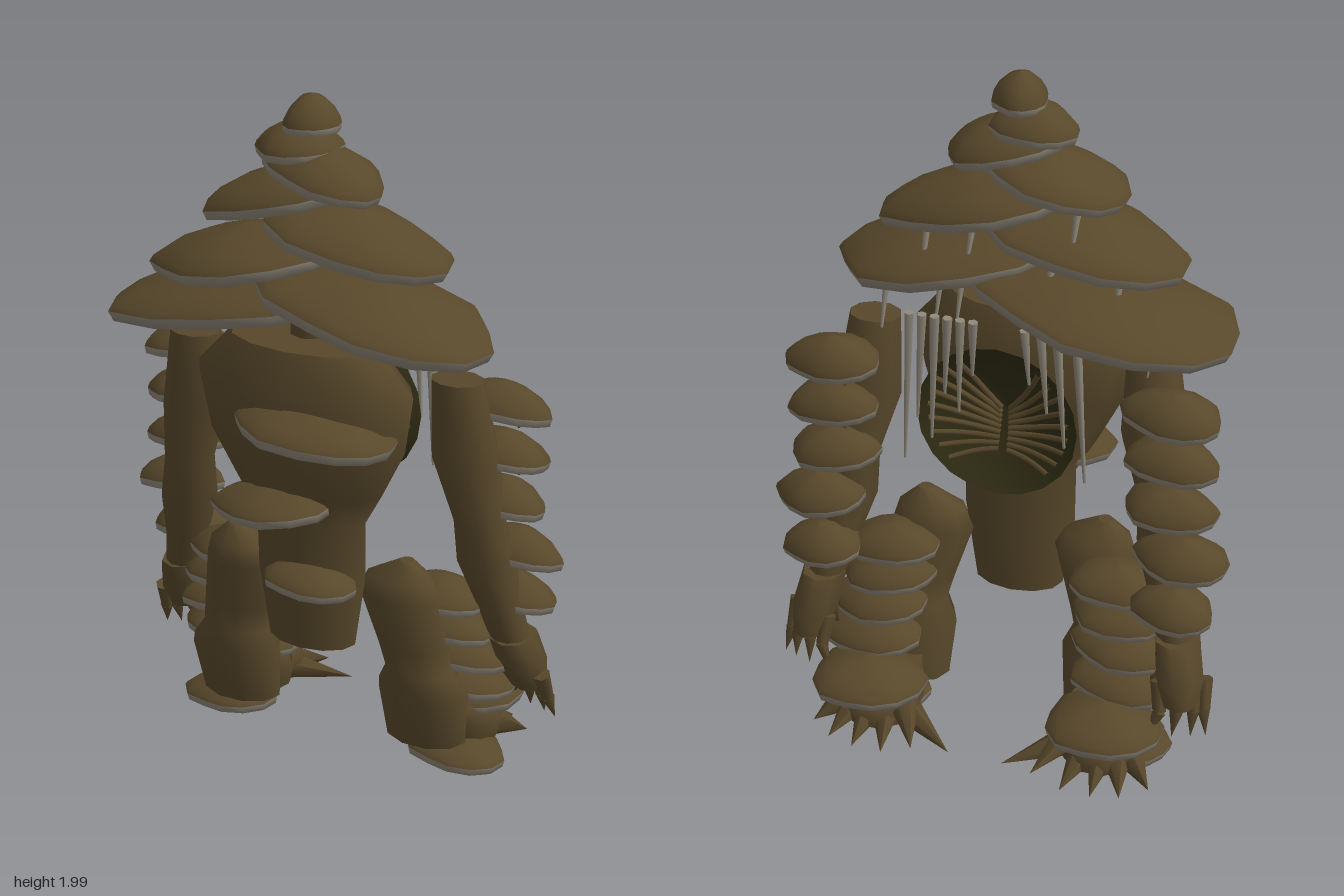
import * as THREE from 'three';
import { mergeGeometries } from 'three/addons/utils/BufferGeometryUtils.js';

const mat = (name, color, side = THREE.FrontSide) => {
  const m = new THREE.MeshStandardMaterial({ color, side });
  m.name = name;
  return m;
};

// Skin over elliptical rings [x, y, z, rx, rz], listed from the top down
function skin(rings, n = 10, wave = () => 1) {
  const pos = [], idx = [];
  rings.forEach(([x, y, z, rx, rz], j) => {
    for (let i = 0; i < n; i++) {
      const a = (i / n) * Math.PI * 2, w = wave(a);
      pos.push(x + Math.cos(a) * rx * w, y, z + Math.sin(a) * rz * w);
      if (j === rings.length - 1) continue;
      const p = j * n + i, q = j * n + ((i + 1) % n);
      idx.push(p, q, p + n, p + n, q, q + n);
    }
  });
  const g = new THREE.BufferGeometry();
  g.setAttribute('position', new THREE.Float32BufferAttribute(pos, 3));
  g.setIndex(idx);
  g.computeVertexNormals();
  return g;
}

// Closed limb: skin with sharp-edged end caps
function limb(rings, n = 10) {
  const a = rings[0], b = rings[rings.length - 1];
  const point = r => [r[0], r[1], r[2], 0, 0];
  return mergeGeometries([skin([point(a), a], n), skin(rings, n), skin([b, point(b)], n)]);
}

// Cone from point a to point b, optionally blunt
function spike(a, b, r, tip = 0) {
  const A = new THREE.Vector3(...a), B = new THREE.Vector3(...b);
  const d = B.clone().sub(A);
  const g = new THREE.CylinderGeometry(tip, r, d.length(), 6);
  g.applyQuaternion(new THREE.Quaternion().setFromUnitVectors(new THREE.Vector3(0, 1, 0), d.normalize()));
  return g.translate(...A.add(B).multiplyScalar(0.5).toArray());
}

export function createModel() {
  const bark = mat('bark brown', 0x58482b);
  const gill = mat('gill grey', 0x8f887a);
  const dark = mat('cavity olive', 0x302d14, THREE.DoubleSide);
  const model = new THREE.Group();
  model.name = 'fungusGolem';

  const add = (name, geo, material, parent = model) => {
    const m = new THREE.Mesh(geo, material);
    m.name = name;
    parent.add(m);
    return m;
  };

  // Bracket fungus: domed brown top, rounded grey lip and slightly hollow grey underside
  let seed = 0;
  const shelf = (name, x, y, z, rx, rz, h, tilt = 0, parent = model, droop = 0) => {
    const s = ++seed * 1.7;
    const wave = a => 1 + 0.05 * Math.sin(3 * a + s) + 0.03 * Math.cos(5 * a + s);
    const ring = (f, dy) => [0, dy, 0, rx * f, rz * f];
    const lip = Math.min(0.03, 0.014 + rx * 0.05);
    const g = new THREE.Group();
    g.name = name;
    const top = [ring(0, h), ring(0.4, h * 0.87), ring(0.75, h * 0.55), ring(0.95, h * 0.2), ring(1, 0)];
    const under = [ring(1, 0), ring(0.97, -lip), ring(0.85, -lip), ring(0.4, -lip * 0.3), ring(0, h * 0.1)];
    add('capTop', skin(top, 13, wave), bark, g);
    add('capUnderside', skin(under, 13, wave), gill, g);
    g.position.set(x, y, z);
    g.rotation.set(-droop, 0, tilt);
    parent.add(g);
  };

  // Torso and neck
  add('torso', limb([
    [-0.005, 1.33, 0.13, 0.22, 0.115], [-0.01, 1.21, 0.125, 0.325, 0.15],
    [0, 1.05, 0.13, 0.295, 0.145], [0, 0.9, 0.115, 0.22, 0.115],
    [0, 0.8, 0.105, 0.165, 0.1], [0, 0.63, 0.1, 0.165, 0.095], [0, 0.41, 0.095, 0.132, 0.085],
  ], 12), bark);
  add('neck', limb([[0, 1.9, 0.1, 0.03, 0.03], [-0.01, 1.6, 0.09, 0.05, 0.05], [-0.01, 1.32, 0.08, 0.06, 0.06]], 8), bark);

  // Stacked head caps: x, y, z, rx, rz, height, tilt
  [
    [0, 1.92, 0.095, 0.075, 0.08, 0.08, 0], [-0.04, 1.85, 0.095, 0.12, 0.105, 0.07, 0.06],
    [0.045, 1.785, 0.1, 0.17, 0.13, 0.08, -0.22], [-0.09, 1.715, 0.105, 0.22, 0.155, 0.075, 0.24],
    [0.115, 1.625, 0.085, 0.275, 0.185, 0.085, -0.22], [-0.18, 1.54, 0.115, 0.285, 0.21, 0.08, 0.19],
    [0.21, 1.445, 0.125, 0.34, 0.235, 0.08, -0.18], [-0.265, 1.385, 0.035, 0.385, 0.25, 0.075, 0.16],
  ].forEach(c => shelf('headCap', ...c));

  // Shelves on the belly side
  shelf('torsoShelf', 0.065, 1.115, 0.23, 0.235, 0.14, 0.065, -0.08);
  shelf('torsoShelf', -0.065, 0.86, 0.19, 0.185, 0.145, 0.055, 0.12);
  shelf('torsoShelf', 0.035, 0.635, 0.17, 0.135, 0.11, 0.055, -0.05);

  // Hollow chest dish opening to -z, with ribs sweeping out and up from a central seam
  const R = 0.23, cy = 1.05;
  const depth = r => 0.025 + 0.09 * (r / R) ** 2;
  const dish = skin([0, 0.07, 0.14, 0.19, R].map(r => [0, depth(r), 0, r, r]), 20);
  add('chestCavity', dish.rotateX(-Math.PI / 2).translate(0, cy, 0), dark);
  for (const s of [1, -1]) for (let k = 0; k < 9; k++) {
    const a = -0.8 + k * 0.22, x1 = 0.205 * Math.cos(a), y1 = 0.205 * Math.sin(a), y0 = -0.12 + k * 0.015;
    const pts = [0, 0.35, 0.7, 1].map(t => {
      const x = 0.012 + (x1 - 0.012) * t, y = y0 + (y1 - y0) * t ** 1.3;
      return new THREE.Vector3(s * x, cy + y, -depth(Math.hypot(x, y)) - 0.006);
    });
    add('cavityRib', new THREE.TubeGeometry(new THREE.CatmullRomCurve3(pts), 6, 0.008, 5), bark);
  }

  // Grey tendrils hanging in front of the cavity
  [-0.26, -0.2, -0.15, -0.1, 0.06, 0.1, 0.14, 0.18, 0.22, 0.26].forEach((x, i) => {
    const end = [0.92, 1.02, 1.12, 1.2, 1.2, 1.08, 1.13, 0.98, 1.04, 0.9][i];
    add('tendril', spike([x * 0.9, 1.37, -0.145], [x, end, -0.135], 0.014, 0.004), gill);
  });

  // Drips between the head caps
  [[-0.19, 1.68, 1.54], [-0.31, 1.5, 1.36], [-0.41, 1.36, 1.22], [0.1, 1.6, 1.48], [0.23, 1.58, 1.42],
    [0.35, 1.4, 1.24], [0.13, 1.45, 1.3], [0.19, 1.45, 1.3], [-0.12, 1.5, 1.38]]
    .forEach(([x, top, bottom]) => add('capDrip', spike([x, top, 0.0], [x + 0.01, bottom, -0.03], 0.012, 0.004), gill));

  for (const s of [1, -1]) {
    const side = s > 0 ? 'left' : 'right';
    const mx = rings => rings.map(([x, ...rest]) => [s * x, ...rest]);

    // Arm and hand
    const arm = new THREE.Group();
    arm.name = side + 'Arm';
    model.add(arm);
    add('armTrunk', limb(mx([
      [0.4, 1.25, 0.03, 0.075, 0.06], [0.418, 1.02, 0.005, 0.098, 0.08], [0.455, 0.83, -0.015, 0.073, 0.07],
      [0.47, 0.7, -0.035, 0.085, 0.075], [0.5, 0.55, -0.07, 0.063, 0.065], [0.53, 0.42, -0.1, 0.055, 0.06],
    ])), bark, arm);
    add('hand', limb(mx([
      [0.53, 0.45, -0.1, 0.066, 0.08], [0.535, 0.425, -0.11, 0.066, 0.085],
      [0.55, 0.34, -0.14, 0.07, 0.08], [0.56, 0.27, -0.165, 0.05, 0.06],
    ]), 8), bark, arm);
    [[0.5, 0.48], [0.545, 0.55], [0.59, 0.6], [0.615, 0.64]].forEach(([x, tip], i) => {
      const knee = [s * (x + 0.01), 0.245, -0.2 + i * 0.018];
      add('finger', spike([s * x, 0.33, -0.17 + i * 0.018], knee, 0.026, 0.019), bark, arm);
      add('fingerClaw', spike(knee, [s * tip, 0.17, -0.225 + i * 0.018], 0.02), bark, arm);
    });
    add('thumb', spike([s * 0.5, 0.38, -0.12], [s * 0.46, 0.24, -0.16], 0.03), bark, arm);

    // Shelves down the arm: x, y, z, rx
    [[0.485, 1.145, -0.08, 0.14], [0.49, 1.005, -0.08, 0.132], [0.49, 0.86, -0.09, 0.132],
      [0.532, 0.71, -0.105, 0.135], [0.52, 0.555, -0.13, 0.118]].forEach(([x, y, z, r]) => {
      shelf('armShelf', s * x, y, z, r, 0.092, 0.075, -s * 0.08, arm, 0.15);
      for (const d of [-0.04, 0.04])
        add('shelfDrip', spike([s * x + d, y, z - 0.02], [s * x + d, y - 0.065, z - 0.025], 0.01, 0.004), bark, arm);
    });

    // Leg and foot
    const leg = new THREE.Group();
    leg.name = side + 'Leg';
    model.add(leg);
    add('legTrunk', limb(mx([
      [0.27, 0.69, 0.05, 0.02, 0.02], [0.25, 0.635, 0.05, 0.1, 0.065], [0.245, 0.58, 0.045, 0.122, 0.075],
      [0.28, 0.42, 0.02, 0.107, 0.08], [0.295, 0.34, 0.01, 0.1, 0.085], [0.303, 0.27, 0, 0.14, 0.095],
      [0.3, 0.1, -0.03, 0.122, 0.085],
    ])), bark, leg);
    add('foot', limb(mx([
      [0.33, 0.19, -0.12, 0.1, 0.1], [0.34, 0.12, -0.17, 0.135, 0.13], [0.34, 0.05, -0.18, 0.115, 0.12],
    ])), bark, leg);
    [[0.28, 0.1, 0.08, 0.04, -0.32], [0.26, 0.12, 0.18, 0.06, -0.36], [0.31, 0.09, 0.27, 0.03, -0.37],
      [0.35, 0.09, 0.36, 0.03, -0.37], [0.39, 0.09, 0.44, 0.03, -0.35], [0.42, 0.09, 0.51, 0.03, -0.29]]
      .forEach(([x, y, tx, ty, tz]) =>
        add('toeClaw', spike([s * x, y, -0.2], [s * tx, ty, tz], 0.055), bark, leg));

    // Shelves down the leg, over the toes and under the foot
    [[0.335, 0.55, -0.05, 0.135, 0.1], [0.35, 0.455, -0.065, 0.14, 0.1], [0.37, 0.365, -0.085, 0.15, 0.105],
      [0.38, 0.27, -0.11, 0.15, 0.115]].forEach(([x, y, z, rx, rz]) =>
      shelf('legShelf', s * x, y, z, rx, rz, 0.065, -s * 0.06, leg, 0.1));
    shelf('toeShelf', s * 0.355, 0.185, -0.225, 0.168, 0.15, 0.075, 0, leg);
    shelf('footShelf', s * 0.37, 0.04, -0.095, 0.148, 0.115, 0.05, s * -0.06, leg);
  }
  return model;
}
